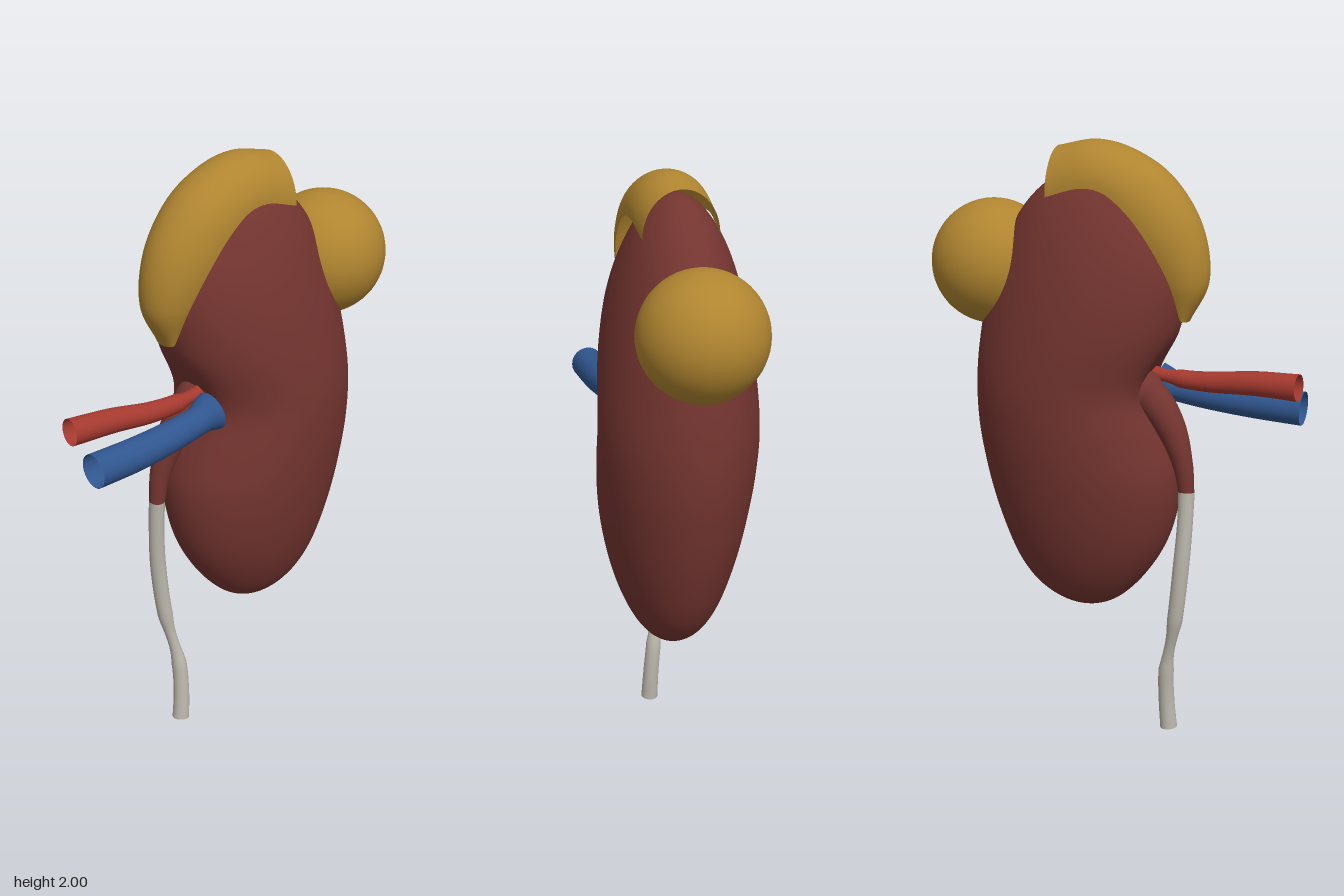
import * as THREE from 'three';
import { mergeVertices } from 'three/addons/utils/BufferGeometryUtils.js';

const V = (p) => new THREE.Vector3(p[0], p[1], p[2]);
const spline = (pts) => new THREE.CatmullRomCurve3(pts.map(V));

// Smooth surface from a grid of points given by fn(u, v)
function surface(rows, cols, fn) {
  const pos = [], idx = [];
  for (let i = 0; i <= rows; i++)
    for (let j = 0; j <= cols; j++) pos.push(...fn(i / rows, j / cols).toArray());
  for (let i = 0; i < rows; i++)
    for (let j = 0; j < cols; j++) {
      const a = i * (cols + 1) + j, b = a + cols + 1;
      idx.push(a, b, a + 1, b, b + 1, a + 1);
    }
  let g = new THREE.BufferGeometry();
  g.setAttribute('position', new THREE.Float32BufferAttribute(pos, 3));
  g.setIndex(idx);
  g = mergeVertices(g, 1e-5);
  g.computeVertexNormals();
  return g;
}

// Open tube along points [x, y, z, radius]
function vessel(pts, rows = 40, cols = 24) {
  const path = spline(pts);
  const radius = spline(pts.map((p) => [p[3], 0, 0]));
  const frames = path.computeFrenetFrames(rows);
  return surface(rows, cols, (u, v) => {
    const t = path.getUtoTmapping(u), i = Math.round(u * rows), r = radius.getPoint(t).x;
    const a = (v % 1) * Math.PI * 2;
    return path.getPoint(t)
      .addScaledVector(frames.normals[i], r * Math.cos(a))
      .addScaledVector(frames.binormals[i], -r * Math.sin(a));
  });
}

// Bean-shaped body: stacked ellipses, [height, centre x, width factor]
function kidneyGeometry() {
  const sections = [
    [0.41, 0.1, 0.39], [0.5, 0.105, 0.385], [0.7, 0.095, 0.375], [0.9, 0.107, 0.36],
    [1.05, 0.135, 0.335], [1.2, 0.153, 0.315], [1.4, 0.107, 0.354], [1.6, 0.075, 0.38],
    [1.8, 0.07, 0.376], [1.93, 0.05, 0.37],
  ];
  const smooth = (y, k) => {
    let i = 0;
    while (i < sections.length - 2 && y > sections[i + 1][0]) i++;
    const at = (n) => sections[Math.min(Math.max(n, 0), sections.length - 1)];
    const slope = (n) => (at(n + 1)[k] - at(n - 1)[k]) / (at(n + 1)[0] - at(n - 1)[0]);
    const h = at(i + 1)[0] - at(i)[0], t = (y - at(i)[0]) / h, t2 = t * t, t3 = t2 * t;
    return at(i)[k] * (2 * t3 - 3 * t2 + 1) + slope(i) * h * (t3 - 2 * t2 + t)
      + at(i + 1)[k] * (3 * t2 - 2 * t3) + slope(i + 1) * h * (t3 - t2);
  };
  return surface(80, 72, (u, v) => {
    const t = (u - 0.5) * Math.PI, a = (v % 1) * Math.PI * 2;
    const s = Math.sin(t), c = u === 0 || u === 1 ? 0 : Math.cos(t);
    const y = 1.17 + 0.76 * s;
    // hollow where the vessels enter
    const dent = Math.cos(a) < 0
      ? 0.05 * Math.exp(-((Math.sin(a) / 0.35) ** 2) - ((y - 1.2) / 0.13) ** 2) : 0;
    return new THREE.Vector3(
      smooth(y, 1) + smooth(y, 2) * c * Math.cos(a) + dent,
      y,
      0.255 * c * Math.sin(a) - 0.018 * s);
  });
}

// Arched shell between an outer ridge and a lower rim (z holds the half width)
function glandGeometry() {
  const ridge = spline([
    [-0.262, 1.43, 0], [-0.325, 1.56, 0], [-0.3, 1.74, 0], [-0.19, 1.9, 0],
    [-0.05, 1.98, 0], [0.06, 2, 0], [0.185, 1.975, 0]]);
  const rim = spline([
    [-0.245, 1.44, 0.045], [-0.225, 1.56, 0.09], [-0.165, 1.69, 0.12], [-0.09, 1.79, 0.13],
    [-0.01, 1.85, 0.13], [0.06, 1.86, 0.13], [0.185, 1.825, 0.125]]);
  return surface(48, 28, (u, v) => {
    const a = v * Math.PI, o = ridge.getPoint(u), i = rim.getPoint(u), k = Math.sin(a);
    return new THREE.Vector3(i.x + (o.x - i.x) * k, i.y + (o.y - i.y) * k, i.z * Math.cos(a));
  });
}

export function createModel() {
  const group = new THREE.Group();
  const material = (name, color, side = THREE.DoubleSide) => {
    const m = new THREE.MeshStandardMaterial({ color, side });
    m.name = name;
    return m;
  };
  const flesh = material('kidneyRed', 0x743530);
  const ochre = material('ochre', 0xb08530);
  const red = material('arteryRed', 0xa4392f);
  const blue = material('veinBlue', 0x30568f);
  const pale = material('ureterGrey', 0xbcb8ad);

  const add = (name, geometry, mat) => {
    const mesh = new THREE.Mesh(geometry, mat);
    mesh.name = name;
    group.add(mesh);
    return mesh;
  };

  add('kidneyBody', kidneyGeometry(), flesh);
  add('adrenalGland', glandGeometry(), ochre);
  add('cyst', new THREE.SphereGeometry(0.207, 48, 32), ochre).position.set(0.418, 1.582, 0);

  // Vessels on the inner side
  add('artery', vessel([
    [-0.63, 1.242, 0.005, 0.044], [-0.48, 1.24, 0.017, 0.04], [-0.33, 1.228, 0.028, 0.034],
    [-0.22, 1.23, 0.03, 0.03], [-0.08, 1.25, 0.03, 0.03]]), red);
  add('vein', vessel([
    [-0.62, 1.145, 0.11, 0.056], [-0.45, 1.153, 0.11, 0.054], [-0.3, 1.166, 0.102, 0.05],
    [-0.2, 1.18, 0.095, 0.047], [-0.16, 1.19, 0.09, 0.058], [-0.135, 1.195, 0.088, 0.066]]), blue);

  // Funnel and drain
  add('renalPelvis', vessel([
    [-0.27, 0.86, -0.03, 0.026], [-0.255, 0.96, -0.03, 0.034], [-0.21, 1.08, -0.025, 0.05],
    [-0.14, 1.17, -0.02, 0.06], [-0.03, 1.22, -0.02, 0.06]]), flesh);
  add('ureter', vessel([
    [-0.205, 0, 0, 0.029], [-0.198, 0.1, -0.004, 0.027], [-0.2, 0.22, -0.015, 0.026],
    [-0.235, 0.4, -0.038, 0.026], [-0.258, 0.6, -0.045, 0.027], [-0.268, 0.75, -0.038, 0.026],
    [-0.27, 0.865, -0.03, 0.027]]), pale);

  return group;
}
